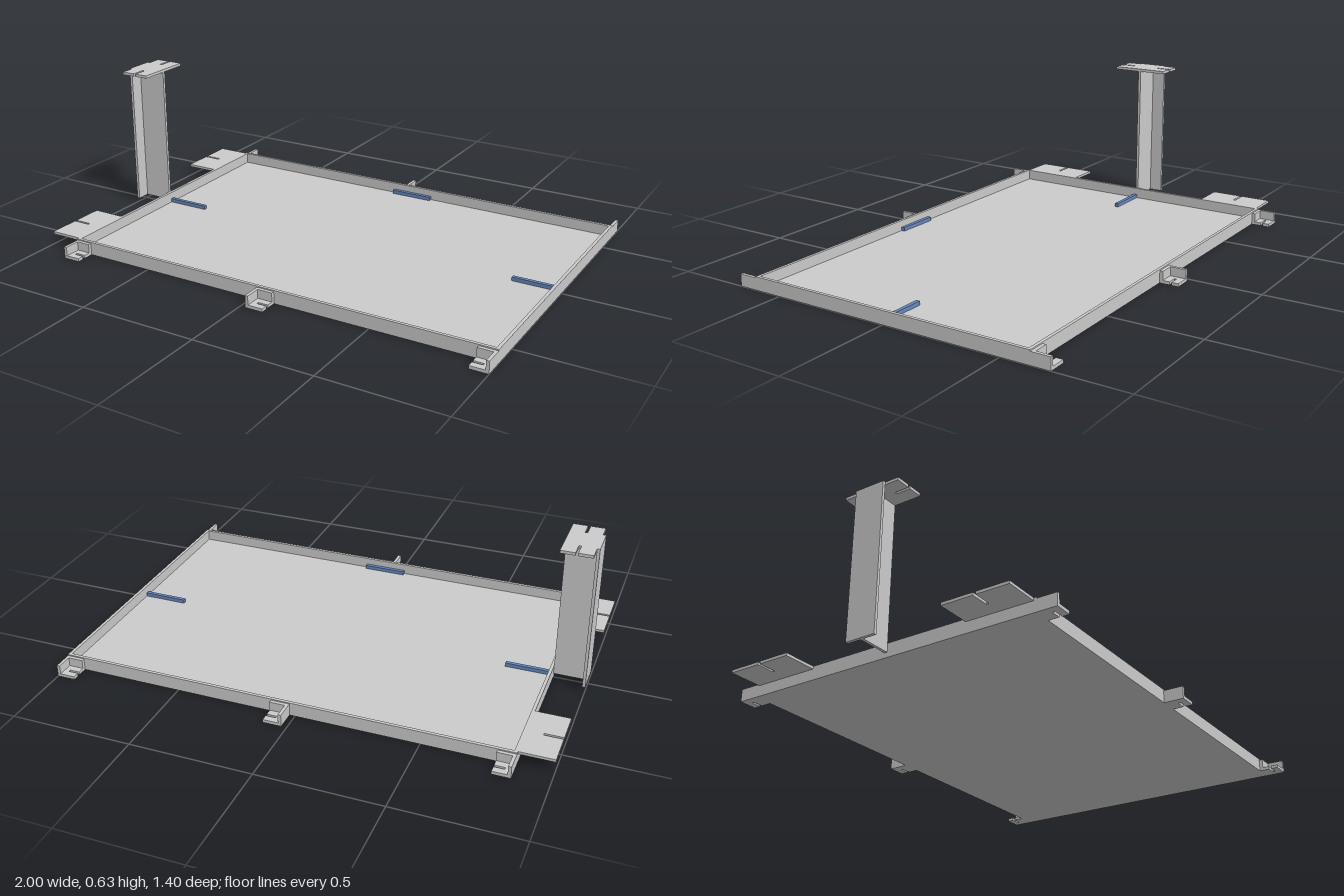
import * as THREE from 'three';

const grey = new THREE.MeshStandardMaterial({ color: 0xcccccc });
const blue = new THREE.MeshStandardMaterial({ color: 0x6688bb });

// Box given by its limits on each axis
function block(parent, name, [x0, x1], [y0, y1], [z0, z1], material = grey) {
  const mesh = new THREE.Mesh(new THREE.BoxGeometry(x1 - x0, y1 - y0, z1 - z0), material);
  mesh.position.set((x0 + x1) / 2, (y0 + y1) / 2, (z0 + z1) / 2);
  mesh.name = name;
  parent.add(mesh);
}

// Horizontal plate cut from an outline of [x, z] points
function plate(parent, name, points, y0, y1) {
  const shape = new THREE.Shape(points.map(([x, z]) => new THREE.Vector2(x, z)));
  const geometry = new THREE.ExtrudeGeometry(shape, { depth: y1 - y0, bevelEnabled: false });
  geometry.rotateX(Math.PI / 2);
  const mesh = new THREE.Mesh(geometry, grey);
  mesh.position.y = y1;
  mesh.name = name;
  parent.add(mesh);
}

const span = (a, b) => [Math.min(a, b), Math.max(a, b)];

export function createModel() {
  const model = new THREE.Group();
  const T = 0.013, H = 0.055, W = 0.62, L = -0.862;

  // Shallow tray
  const tray = new THREE.Group();
  tray.name = 'tray';
  model.add(tray);
  block(tray, 'floor', [L + T, 1 - T], [0, 0.01], [-W + T, W - T]);
  for (const x of [L, 1 - T]) block(tray, 'endWall', [x, x + T], [0, H], [-W, W]);
  for (const s of [-1, 1]) {
    block(tray, 'sideWall', [L + T, 1 - T], [0, H], span(s * W, s * (W - T)));
  }

  // Slotted angle brackets along both long sides
  const brackets = [
    { fin: L, a: L + T, b: -0.79, open: -0.79, closed: -0.832 },
    { fin: 0.022, a: 0.035, b: 0.098, open: 0.098, closed: 0.056 },
    { fin: 1 - T, a: 0.925, b: 1 - T, open: 0.925, closed: 0.967 },
  ];
  for (const s of [-1, 1]) {
    for (const { fin, a, b, open, closed } of brackets) {
      const bracket = new THREE.Group();
      bracket.name = 'bracket';
      model.add(bracket);
      block(bracket, 'bracketFin', [fin, fin + T], [0, 0.05], span(s * W, s * 0.7));
      block(bracket, 'bracketBack', [a, b], [T, 0.05], span(s * W, s * 0.634));
      const solid = open === a ? b : a;
      plate(bracket, 'bracketFoot', [
        [solid, s * W], [open, s * W], [open, s * 0.662], [closed, s * 0.662],
        [closed, s * 0.672], [open, s * 0.672], [open, s * 0.7], [solid, s * 0.7],
      ], 0, T);
    }
  }

  // Slotted tabs level with the rim at the post end
  for (const s of [-1, 1]) {
    plate(model, 'mountingTab', [
      [L, s * 0.34], [-1, s * 0.34], [-1, s * 0.469], [-0.925, s * 0.469],
      [-0.925, s * 0.479], [-1, s * 0.479], [-1, s * 0.61], [L, s * 0.61],
    ], 0.044, H);
  }

  // T-section post with a slotted cap
  const post = new THREE.Group();
  post.name = 'post';
  model.add(post);
  block(post, 'postFlange', [-1, -0.988], [0.02, 0.628], [-0.063, 0.063]);
  block(post, 'postWeb', [-0.988, L], [0.02, 0.616], [-0.006, 0.006]);
  plate(post, 'postCap', [
    [-0.988, -0.122], [-0.93, -0.122], [-0.93, -0.06], [-0.92, -0.06], [-0.92, -0.122], [L, -0.122],
    [L, 0.122], [-0.92, 0.122], [-0.92, 0.06], [-0.93, 0.06], [-0.93, 0.122], [-0.988, 0.122],
  ], 0.616, 0.628);

  // Blue strips on the floor, one beside each wall
  const y = [0.01, 0.026];
  block(model, 'floorStrip', [L + T, -0.665], y, [-0.008, 0.008], blue);
  block(model, 'floorStrip', [0.8, 1 - T], y, [-0.008, 0.008], blue);
  for (const s of [-1, 1]) {
    block(model, 'floorStrip', [-0.027, 0.158], y, span(s * 0.591, s * (W - T)), blue);
  }
  return model;
}
